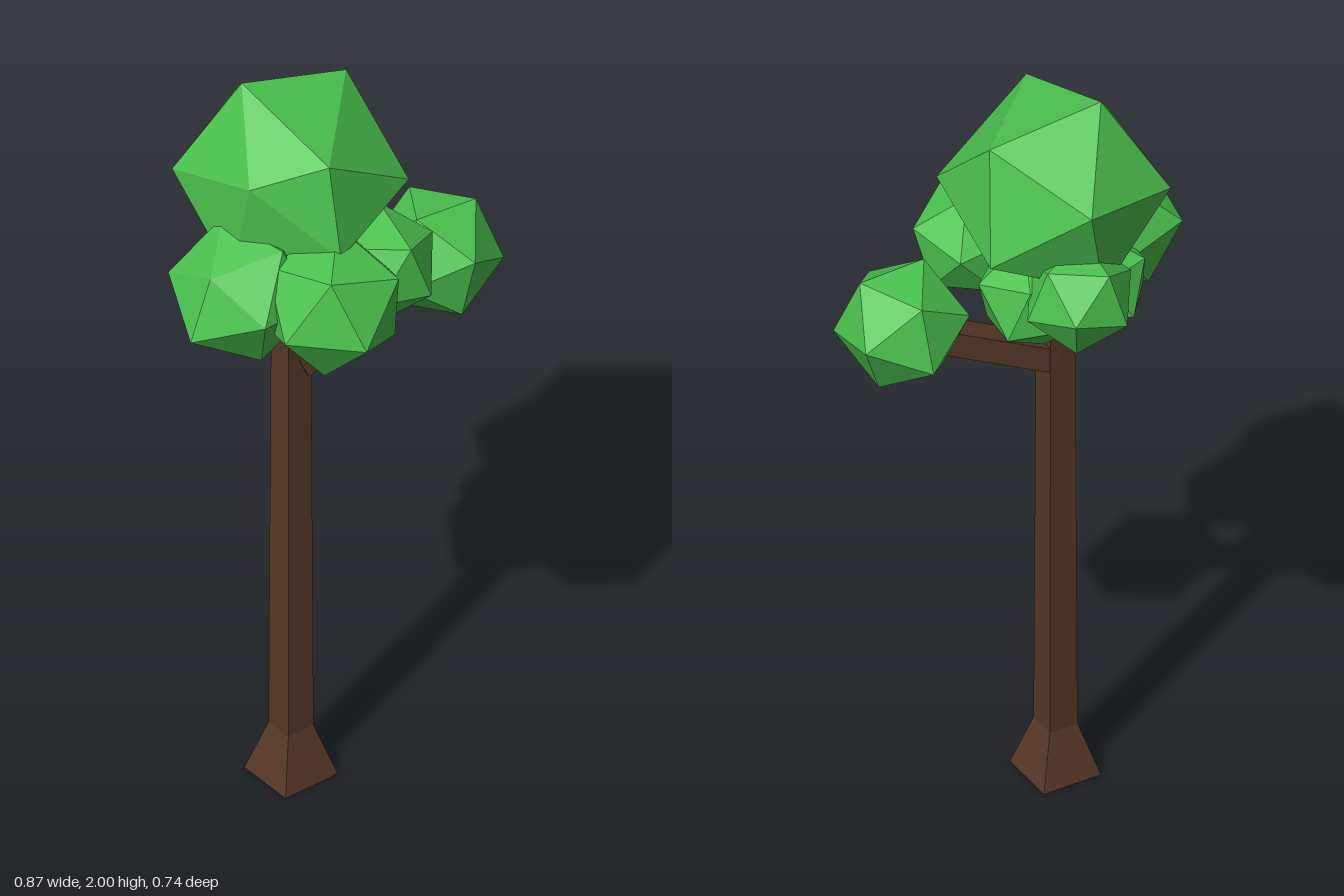
import * as THREE from 'three';

const leafMaterial = new THREE.MeshStandardMaterial({ color: 0x4cc24f, flatShading: true });
const barkMaterial = new THREE.MeshStandardMaterial({ color: 0x573828, flatShading: true });
const vec = (p) => new THREE.Vector3(...p);

// Leaf cluster: an icosahedron turned so that one edge points along the
// directions of cornerA and cornerB; further corners are pulled into place.
function leafCluster({ name, center, radius, cornerA, cornerB, pulls = [] }) {
  const c = vec(center);
  const a = vec(cornerA).sub(c).normalize();
  const b = vec(cornerB).sub(c).normalize();
  const z = a.clone().add(b).normalize();
  const y = a.clone().sub(b);
  y.addScaledVector(z, -y.dot(z)).normalize();
  const x = y.clone().cross(z);

  const geometry = new THREE.IcosahedronGeometry(radius, 0);
  geometry.applyMatrix4(new THREE.Matrix4().makeBasis(x, y, z));
  geometry.translate(...center);

  const pos = geometry.attributes.position;
  const v = new THREE.Vector3();
  for (const pull of pulls) {
    const target = vec(pull);
    const nearest = new THREE.Vector3(Infinity, Infinity, Infinity);
    for (let i = 0; i < pos.count; i++) {
      v.fromBufferAttribute(pos, i);
      if (v.distanceTo(target) < nearest.distanceTo(target)) nearest.copy(v);
    }
    for (let i = 0; i < pos.count; i++) {
      v.fromBufferAttribute(pos, i);
      if (v.distanceTo(nearest) < 1e-4) pos.setXYZ(i, ...pull);
    }
  }
  geometry.computeVertexNormals();
  const mesh = new THREE.Mesh(geometry, leafMaterial);
  mesh.name = name;
  return mesh;
}

// Four-sided tapered piece of the trunk between two heights
function trunkPiece(name, y0, y1, r0, r1) {
  const mesh = new THREE.Mesh(new THREE.CylinderGeometry(r1, r0, y1 - y0, 4), barkMaterial);
  mesh.position.set(-0.105, (y0 + y1) / 2, -0.005);
  mesh.rotation.y = 1.008;
  mesh.name = name;
  return mesh;
}

export function createModel() {
  const tree = new THREE.Group();
  tree.name = 'tree';

  // Flared foot and slim shaft
  tree.add(trunkPiece('trunkFoot', 0, 0.14, 0.112, 0.054));
  tree.add(trunkPiece('trunk', 0.14, 1.5, 0.054, 0.047));

  // Side branch, rising towards the outlying cluster
  const start = vec([-0.09, 1.215, -0.005]);
  const end = vec([0.27, 1.375, -0.025]);
  const branch = new THREE.Mesh(
    new THREE.BoxGeometry(0.075, 0.063, start.distanceTo(end)), barkMaterial);
  branch.position.copy(start).lerp(end, 0.5);
  branch.lookAt(end);
  branch.name = 'branch';
  tree.add(branch);

  // Foliage
  const clusters = [
    { name: 'crown', center: [-0.0875, 1.742, -0.05], radius: 0.282,
      cornerA: [-0.185, 2.0, -0.11], cornerB: [-0.095, 1.82, -0.32],
      pulls: [[-0.185, 2.0, -0.11], [0.1, 1.935, -0.13], [-0.09, 1.91, 0.175],
        [-0.34, 1.755, -0.17], [0.165, 1.73, 0.08], [-0.26, 1.84, 0.09]] },
    { name: 'branchLeaves', center: [0.288, 1.403, -0.03], radius: 0.165,
      cornerA: [0.213, 1.54, 0.012], cornerB: [0.395, 1.53, -0.02] },
    { name: 'frontLeaves', center: [-0.095, 1.53, 0.195], radius: 0.185,
      cornerA: [-0.08, 1.505, 0.37], cornerB: [0.05, 1.62, 0.31] },
    { name: 'rightLeaves', center: [-0.265, 1.53, 0.06], radius: 0.18,
      cornerA: [-0.434, 1.47, 0.13], cornerB: [-0.375, 1.63, 0.115],
      pulls: [[-0.434, 1.47, 0.13], [-0.375, 1.63, 0.115]] },
    { name: 'leftLeaves', center: [0.075, 1.525, 0.1], radius: 0.15,
      cornerA: [0.215, 1.585, 0.086], cornerB: [0.15, 1.46, 0.225] },
    { name: 'backLeaves', center: [-0.09, 1.54, -0.235], radius: 0.14,
      cornerA: [-0.043, 1.548, -0.37], cornerB: [-0.14, 1.65, -0.335] },
    { name: 'backLeftLeaves', center: [-0.02, 1.475, -0.1], radius: 0.145,
      cornerA: [-0.03, 1.33, -0.13], cornerB: [0.07, 1.4, -0.19] },
    { name: 'backRightLeaves', center: [-0.18, 1.475, -0.09], radius: 0.135,
      cornerA: [-0.24, 1.42, -0.2], cornerB: [-0.28, 1.54, -0.14] },
    { name: 'innerLeaves', center: [-0.09, 1.51, 0.02], radius: 0.17,
      cornerA: [-0.05, 1.67, 0.05], cornerB: [0.06, 1.55, 0.0] },
  ];
  for (const cluster of clusters) tree.add(leafCluster(cluster));

  return tree;
}
